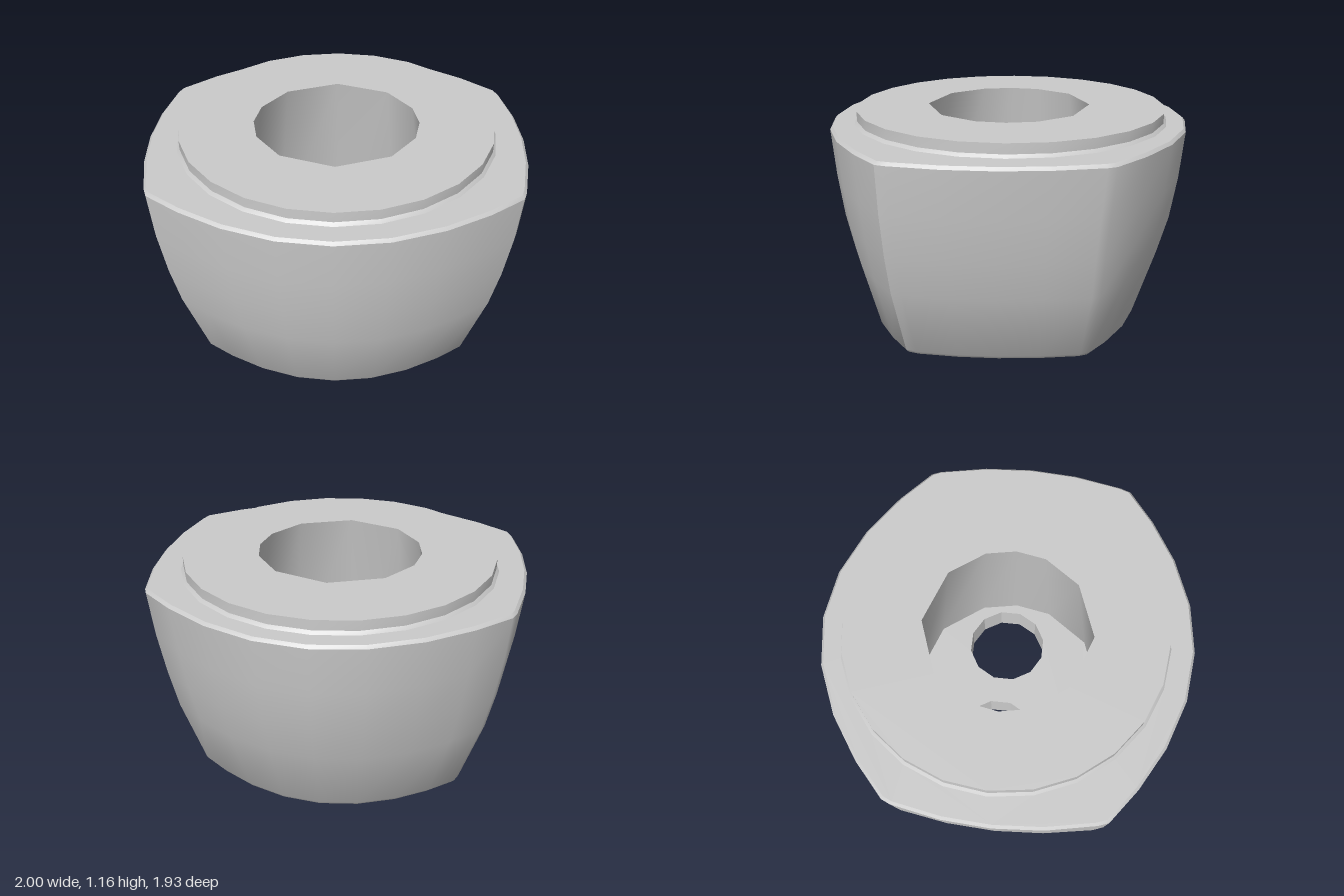
import * as THREE from 'three';
import { toCreasedNormals } from 'three/addons/utils/BufferGeometryUtils.js';

const material = new THREE.MeshStandardMaterial({ color: 0xcccccc });

// Every loop is a list of [x, z], running counter-clockwise as seen from above.
const polygon = (angles, r, cx = 0, cz = 0) =>
  angles.map(a => [cx + r * Math.sin(a), cz + r * Math.cos(a)]);
const evenAngles = (n, offset = 0) =>
  Array.from({ length: n }, (_, i) => ((i + offset) / n) * Math.PI * 2);

// Skin through stacked loops: listed upward it faces out, listed downward it faces in.
function loft(levels, crease = 0.55) {
  const n = levels[0].loop.length;
  const pos = [], index = [];
  levels.forEach(({ y, loop }) => loop.forEach(([x, z]) => pos.push(x, y, z)));
  for (let j = 0; j < levels.length - 1; j++) {
    for (let i = 0; i < n; i++) {
      const k = (i + 1) % n;
      const a = j * n + i, b = j * n + k, c = b + n, d = a + n;
      index.push(a, b, c, a, c, d);
    }
  }
  const g = new THREE.BufferGeometry();
  g.setAttribute('position', new THREE.Float32BufferAttribute(pos, 3));
  g.setIndex(index);
  return toCreasedNormals(g, crease);
}

// Flat horizontal face with holes, facing up or down.
function cap(y, loop, holes = [], up = true) {
  const toPoints = l => l.map(([x, z]) => new THREE.Vector2(x, -z));
  const shape = new THREE.Shape(toPoints(loop));
  holes.forEach(h => shape.holes.push(new THREE.Path(toPoints(h))));
  const g = new THREE.ShapeGeometry(shape);
  if (!up) {
    g.index.array.reverse();
    g.computeVertexNormals();
  }
  g.rotateX(-Math.PI / 2);
  g.translate(0, y, 0);
  return g;
}

// Body outline: bowed front and back, flatter bowed sides, narrow rounded corners.
function bodyLoop([xc, xs, zfc, zf, zbc, zb]) {
  const half = [];
  const arc = [0, 0.29, 0.57, 0.81, 1];
  arc.forEach(t => half.push([xc * t, zf + (zfc - zf) * t * t]));
  const z0 = zfc - 0.055, z1 = zbc + 0.045;
  [-1, -0.5, 0, 0.5, 1].forEach(s => half.push([
    xc + 0.02 + (xs - xc - 0.02) * (1 - s * s),
    z0 + (z1 - z0) * (s + 1) / 2,
  ]));
  [...arc].reverse().forEach(t => half.push([xc * t, zb + (zbc - zb) * t * t]));
  const mirrored = half.slice(1, -1).reverse().map(([x, z]) => [-x, z]);
  return [...half, ...mirrored];
}

export function createModel() {
  const model = new THREE.Group();
  const add = (name, geometry) => {
    const mesh = new THREE.Mesh(geometry, material);
    mesh.name = name;
    model.add(mesh);
  };

  // Tapered outer wall: height, corner x, side x, front corner z, front z, back corner z, back z
  const body = [
    [0, 0.685, 0.74, 0.5, 0.76, -0.425, -0.715],
    [0.02, 0.7, 0.757, 0.51, 0.775, -0.435, -0.73],
    [0.39, 0.815, 0.88, 0.555, 0.87, -0.475, -0.848],
    [0.6, 0.86, 0.93, 0.57, 0.915, -0.485, -0.908],
    [0.83, 0.895, 0.97, 0.58, 0.945, -0.5, -0.945],
    [1.08, 0.915, 1, 0.585, 0.966, -0.52, -0.968],
    [1.096, 0.903, 0.985, 0.575, 0.953, -0.51, -0.955],
  ].map(([y, ...size]) => ({ y, loop: bodyLoop(size) }));
  add('outerWall', loft(body));

  // Raised round rim with a small foot chamfer
  const ringAngles = evenAngles(24);
  const ring = r => polygon(ringAngles, r, 0, -0.01);
  const rim = [[1.096, 0.853], [1.112, 0.838], [1.165, 0.838]]
    .map(([y, r]) => ({ y, loop: ring(r) }));
  add('ledge', cap(1.096, body[body.length - 1].loop, [rim[0].loop]));
  add('rimWall', loft(rim));

  // Central cavity, opening out towards its floor
  const quarter = [0, 39.5, 69, 90, 111, 140.5];
  const mouthAngles = [...quarter, ...quarter.map(a => a + 180)].map(THREE.MathUtils.degToRad);
  const mouth = polygon(mouthAngles, 0.442);
  const floorLoop = polygon(mouthAngles, 0.58);
  const floorY = 0.17;
  add('rimTop', cap(1.165, rim[2].loop, [mouth]));
  add('cavityWall', loft([{ y: 1.165, loop: mouth }, { y: floorY, loop: floorLoop }], 0.8));

  // Two round holes through the floor
  const holes = [-1, 1].map(s => polygon(evenAngles(12, 0.5), 0.23, s * 0.3, -0.035));
  add('cavityFloor', cap(floorY, floorLoop, holes));
  add('underside', cap(0, body[0].loop, holes, false));
  holes.forEach((loop, i) =>
    add(i ? 'leftHole' : 'rightHole', loft([{ y: floorY, loop }, { y: 0, loop }], 0.4)));

  return model;
}
